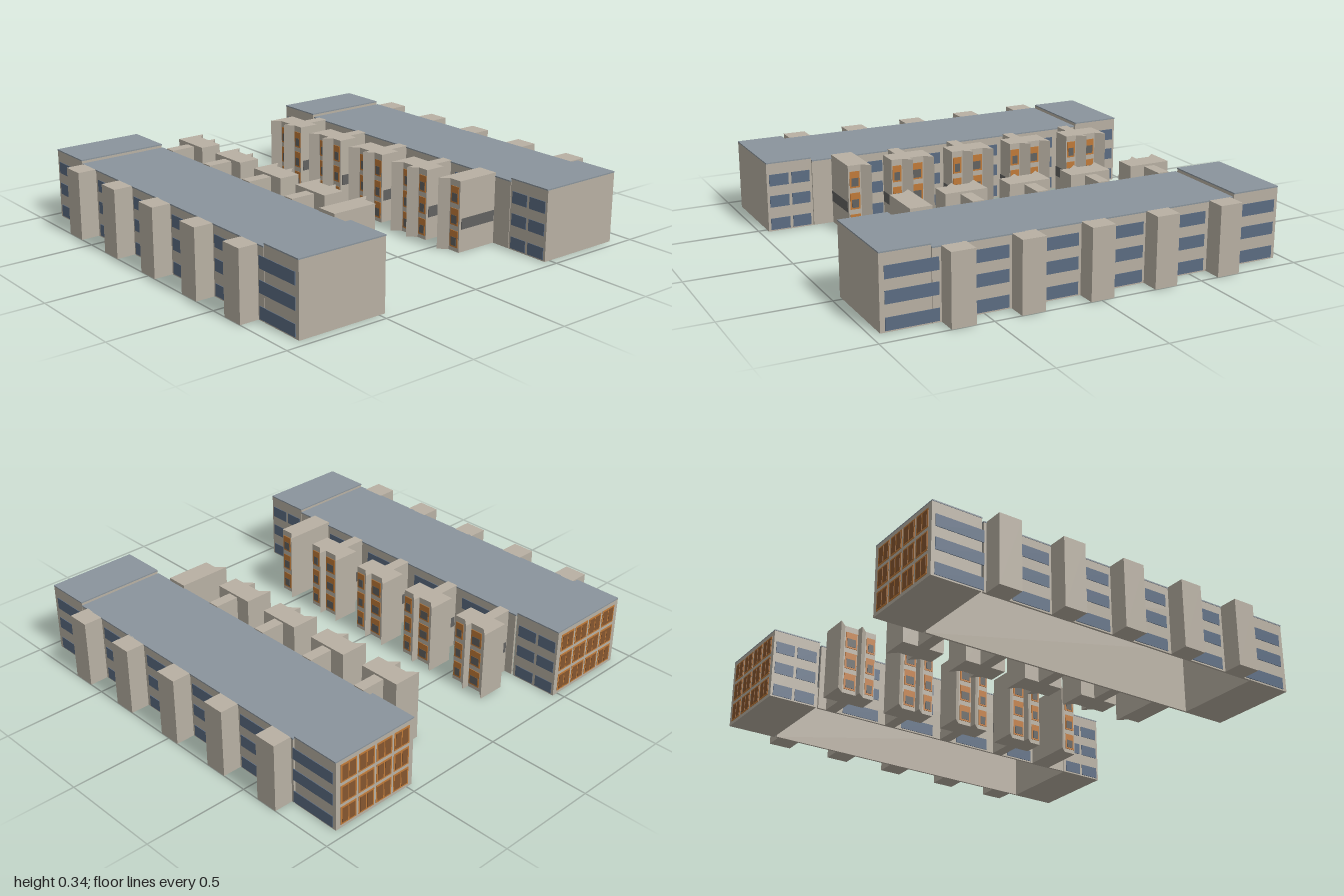
import * as THREE from 'three';

const mat = (name, color) => {
  const m = new THREE.MeshStandardMaterial({ color });
  m.name = name;
  return m;
};

export function createModel() {
  const wall = mat('wall beige', 0xb8b0a3);
  const slate = mat('roof slate', 0x8a949c);
  const glass = mat('window blue', 0x5b6c82);
  const dark = mat('charcoal band', 0x626260);
  const orange = mat('orange frame', 0xc07a38);
  const brown = mat('brown pane', 0x85562f);

  const H = 0.34, MID = 0.325;            // heights of end blocks and middle
  const rows = [0.035, 0.147, 0.252];     // window row centres
  const ROW_H = 0.056;

  const model = new THREE.Group();
  model.name = 'twinBuildings';

  // One building per side; s mirrors it across z
  for (const s of [1, -1]) {
    const building = new THREE.Group();
    building.name = s > 0 ? 'frontBuilding' : 'backBuilding';
    model.add(building);

    const add = (name, geo, material, parent = building) => {
      const mesh = new THREE.Mesh(geo, material);
      mesh.name = name;
      parent.add(mesh);
      return mesh;
    };
    // Box from its limits, z mirrored by s
    const box = (name, x0, x1, y0, y1, z0, z1, material, parent) => {
      const mesh = add(name, new THREE.BoxGeometry(x1 - x0, y1 - y0, z1 - z0), material, parent);
      mesh.position.set((x0 + x1) / 2, (y0 + y1) / 2, s * (z0 + z1) / 2);
      return mesh;
    };
    // Thin plate on a z-facing wall and on an x-facing wall
    const plateZ = (name, x0, x1, yc, h, z, material, parent) =>
      box(name, x0, x1, yc - h / 2, yc + h / 2, z - 0.002, z + 0.002, material, parent);
    const plateX = (name, x, yc, h, z0, z1, material, parent) =>
      box(name, x - 0.002, x + 0.002, yc - h / 2, yc + h / 2, z0, z1, material, parent);

    // End blocks with their roofs
    for (const [name, x0, x1] of [['rightEnd', -0.957, -0.72], ['leftEnd', 0.733, 0.957]]) {
      box(name + 'Block', x0, x1, 0, H - 0.006, 0.47, 0.908, wall);
      box(name + 'Roof', x0, x1, H - 0.006, H, 0.468, 0.91, slate);
    }

    // Middle: two long walls and a roof, open underneath
    box('outerWall', -0.71, 0.73, 0, MID - 0.006, 0.898, 0.908, wall);
    box('innerWall', -0.71, 0.73, 0, MID - 0.006, 0.47, 0.48, wall);
    box('middleRoof', -0.712, 0.73, MID - 0.006, MID, 0.468, 0.91, slate);

    // Stair towers on the outer wall
    for (const x of [-0.643, -0.32, -0.005, 0.32, 0.635])
      box('stairTower', x - 0.055, x + 0.055, 0, MID, 0.905, 1, wall);

    // Outer window strips
    const outerBays = [[-0.94, -0.71], [-0.57, -0.387], [-0.253, -0.073],
      [0.063, 0.245], [0.387, 0.563], [0.7, 0.935]];
    for (const y of rows)
      for (const [x0, x1] of outerBays)
        plateZ('outerWindow', x0, x1, y, ROW_H, 0.909, glass);

    // Inner windows: paired panes at the ends, strips between the wings
    const innerBays = [[-0.945, -0.85], [-0.835, -0.735], [-0.58, -0.39], [-0.26, -0.08],
      [0.06, 0.24], [0.37, 0.515], [0.745, 0.835], [0.85, 0.945]];
    for (const y of rows)
      for (const [x0, x1] of innerBays)
        plateZ('innerWindow', x0, x1, y, ROW_H, 0.469, glass);

    // Glazed right end: framed panes in a grid
    for (const y of [0.06, 0.165, 0.27])
      for (let i = 0; i < 4; i++) {
        const z = 0.495 + i * 0.1;
        plateX('endFrame', -0.957, y, 0.088, z, z + 0.088, orange);
        for (const d of [0.008, 0.048])
          plateX('endPane', -0.9585, y, 0.072, z + d, z + d + 0.032, brown);
      }

    // Courtyard wings
    const fin = (x, parent) => {
      const shape = new THREE.Shape([
        new THREE.Vector2(x, -s * 0.212),
        new THREE.Vector2(x + 0.042, -s * 0.252),
        new THREE.Vector2(x, -s * 0.252),
      ]);
      const geo = new THREE.ExtrudeGeometry(shape, { depth: H, bevelEnabled: false });
      add('fin', geo.rotateX(-Math.PI / 2), wall, parent);
    };
    const framedWindows = (x0, x1, parent) => {
      for (const y of [0.06, 0.165, 0.27]) {
        plateZ('wingFrame', x0, x1, y, 0.08, 0.249, orange, parent);
        plateZ('wingPane', x0 + 0.008, x1 - 0.008, y - 0.012, 0.04, 0.2475, dark, parent);
      }
    };
    for (const x of [-0.745, -0.425, -0.11, 0.207]) {
      const wing = new THREE.Group();
      wing.name = 'wing';
      building.add(wing);
      box('wingBlock', x, x + 0.205, 0, H, 0.25, 0.352, wall, wing);
      box('connector', x + 0.076, x + 0.131, 0, MID + 0.005, 0.35, 0.472, wall, wing);
      plateX('sideBand', x + 0.205, 0.135, 0.052, 0.262, 0.35, dark, wing);
      for (const cx of [x + 0.076, x + 0.131])
        plateX('connectorBand', cx, 0.135, 0.052, 0.355, 0.465, dark, wing);
      fin(x, wing);
      fin(x + 0.11, wing);
      framedWindows(x + 0.046, x + 0.106, wing);
      framedWindows(x + 0.156, x + 0.2, wing);
    }

    // Narrow last wing
    const last = new THREE.Group();
    last.name = 'narrowWing';
    building.add(last);
    box('wingBlock', 0.528, 0.632, 0, H, 0.25, 0.472, wall, last);
    plateX('sideBand', 0.632, 0.135, 0.052, 0.262, 0.467, dark, last);
    fin(0.528, last);
    framedWindows(0.575, 0.625, last);
  }
  return model;
}
